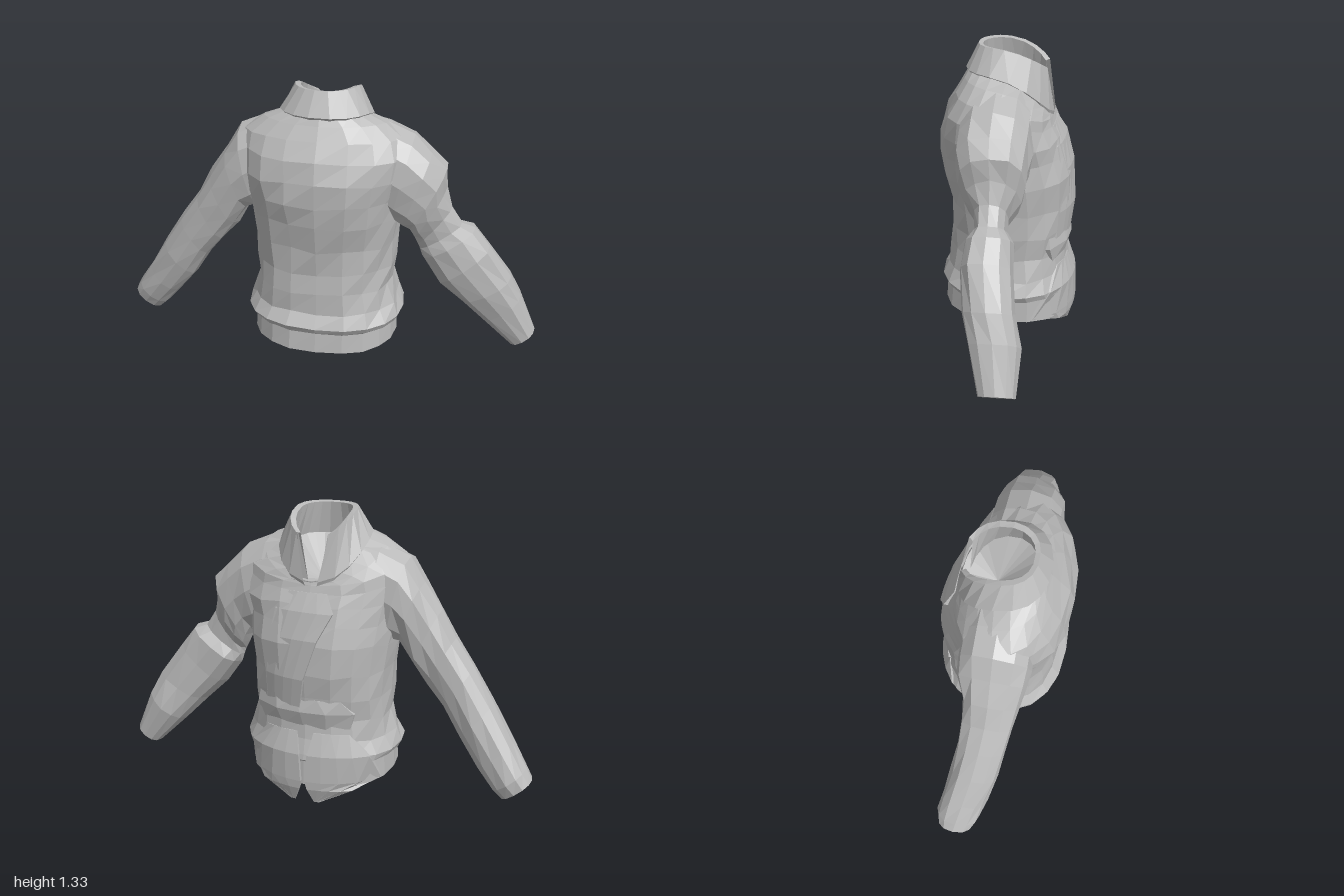
import * as THREE from 'three';

// One cloth colour for the whole garment
const cloth = new THREE.MeshStandardMaterial({ color: 0xbababa, flatShading: true, side: THREE.DoubleSide });
cloth.name = 'greyCloth';

const POWER = 0.86; // squareness of the torso cross-sections
const spow = (v) => Math.sign(v) * Math.abs(v) ** POWER;

// Small repeatable wrinkle offset
function seeded(seed) {
  return () => {
    seed = (seed * 16807) % 2147483647;
    return seed / 2147483647 - 0.5;
  };
}

// Skin a list of rings; tips close the ends of the loft
function loft(rings, { closed = true, flip = false, startTip, endTip } = {}) {
  const n = rings[0].length, pos = [], idx = [];
  const tri = (a, b, c) => (flip ? idx.push(a, c, b) : idx.push(a, b, c));
  rings.flat().forEach((p) => pos.push(...p));
  for (let i = 0; i < rings.length - 1; i++) {
    for (let j = 0; j < (closed ? n : n - 1); j++) {
      const k = (j + 1) % n, a = i * n + j, b = i * n + k;
      tri(a, a + n, b);
      tri(b, a + n, b + n);
    }
  }
  const cap = (tip, base, rev) => {
    const t = pos.length / 3;
    pos.push(...tip);
    for (let j = 0; j < n; j++) {
      const a = base + j, b = base + ((j + 1) % n);
      rev ? tri(t, a, b) : tri(t, b, a);
    }
  };
  if (startTip) cap(startTip, 0, true);
  if (endTip) cap(endTip, (rings.length - 1) * n, false);
  const g = new THREE.BufferGeometry();
  g.setAttribute('position', new THREE.Float32BufferAttribute(pos, 3));
  g.setIndex(idx);
  g.computeVertexNormals();
  return g;
}

function part(name, geometry) {
  const m = new THREE.Mesh(geometry, cloth);
  m.name = name;
  return m;
}

// Torso rows: y, half width, z of open side, z of plain side, drop toward open side
const TORSO = [
  [0.11, 0.345, -0.30, 0.31, 0.02],
  [0.205, 0.34, -0.295, 0.30, 0],
  [0.212, 0.36, -0.30, 0.305, 0],
  [0.24, 0.375, -0.295, 0.32, 0],
  [0.30, 0.345, -0.28, 0.285, 0],
  [0.40, 0.325, -0.265, 0.275, 0],
  [0.50, 0.325, -0.28, 0.27, 0],
  [0.62, 0.33, -0.285, 0.275, 0],
  [0.75, 0.345, -0.28, 0.295, 0],
  [0.85, 0.365, -0.26, 0.31, 0.01],
  [0.95, 0.38, -0.235, 0.31, 0.03],
  [1.05, 0.39, -0.205, 0.285, 0.07],
  [1.13, 0.37, -0.195, 0.24, 0.12],
  [1.19, 0.285, -0.19, 0.205, 0.17],
  [1.225, 0.195, -0.19, 0.185, 0.2],
];

// Point on a rounded cross-section that dips toward -z
function sectionPoint([y, hw, zf, zb, drop], a) {
  const z = (zf + zb) / 2 + ((zb - zf) / 2) * spow(Math.sin(a));
  const t = (zb - z) / (zb - zf);
  return [hw * spow(Math.cos(a)), y - drop * t ** 3, z];
}

function torso() {
  const rnd = seeded(77), n = 20;
  const rings = TORSO.map((row, i) => Array.from({ length: n }, (_, j) => {
    const amt = i < 4 || i > 11 ? 0.004 : 0.02;
    const p = sectionPoint(row, (j / n) * Math.PI * 2);
    const s = 1 + rnd() * amt * 3;
    return [p[0] * s, p[1] + rnd() * amt, p[2] * s];
  }));
  return loft(rings, { startTip: [0, 0.11, 0], endTip: [0, 1.0, -0.03] });
}

// Sleeve rows: outer x, y, inner x, y, z min, z max
const RIGHT_SLEEVE = [
  [0.14, 1.2, 0.2, 0.84, -0.12, 0.16],
  [0.27, 1.175, 0.25, 0.78, -0.13, 0.19],
  [0.39, 1.125, 0.31, 0.74, -0.13, 0.195],
  [0.46, 1.02, 0.36, 0.73, -0.12, 0.19],
  [0.54, 0.89, 0.42, 0.63, -0.09, 0.17],
  [0.61, 0.77, 0.49, 0.545, -0.08, 0.155],
  [0.70, 0.64, 0.57, 0.45, -0.085, 0.14],
  [0.80, 0.49, 0.65, 0.32, -0.10, 0.12],
  [0.90, 0.33, 0.75, 0.20, -0.125, 0.09],
  [0.97, 0.22, 0.83, 0.11, -0.14, 0.065],
  [1.0, 0.17, 0.87, 0.07, -0.13, 0.04],
];
// The left sleeve bulges, pinches and folds over at the elbow
const LEFT_SLEEVE = [
  [0.14, 1.2, 0.2, 0.84, -0.13, 0.16],
  [0.28, 1.175, 0.25, 0.78, -0.13, 0.2],
  [0.40, 1.125, 0.31, 0.73, -0.13, 0.20],
  [0.48, 1.05, 0.36, 0.71, -0.12, 0.20],
  [0.55, 0.98, 0.39, 0.68, -0.11, 0.18],
  [0.55, 0.88, 0.41, 0.64, -0.09, 0.15],
  [0.58, 0.79, 0.43, 0.6, -0.045, 0.105],
  [0.63, 0.715, 0.435, 0.57, -0.04, 0.1],
  [0.69, 0.695, 0.455, 0.53, -0.075, 0.13],
  [0.76, 0.61, 0.54, 0.42, -0.08, 0.145],
  [0.87, 0.45, 0.64, 0.32, -0.10, 0.12],
  [0.92, 0.34, 0.75, 0.21, -0.13, 0.085],
  [1.0, 0.15, 0.89, 0.07, -0.12, 0.035],
];

function sleeve(rows, side, seed) {
  const rnd = seeded(seed), n = 12;
  const rings = rows.map(([ox, oy, ix, iy, z0, z1], i) => Array.from({ length: n }, (_, j) => {
    const a = (j / n) * Math.PI * 2, s = i < 3 || i === rows.length - 1 ? 1 : 1 + rnd() * 0.1;
    const c = spow(Math.cos(a)) * s, d = spow(Math.sin(a)) * s;
    return [
      side * ((ox + ix) / 2 + ((ox - ix) / 2) * c),
      (oy + iy) / 2 + ((oy - iy) / 2) * c,
      (z0 + z1) / 2 + ((z1 - z0) / 2) * d,
    ];
  }));
  const [ox, oy, ix, iy, z0, z1] = rows[rows.length - 1];
  const endTip = [side * (ox + ix) / 2, (oy + iy) / 2, (z0 + z1) / 2];
  return loft(rings, { flip: side > 0, endTip });
}

// Stand-up collar: outer wall, rim and inner wall, opening in a V at -z
function collar() {
  const n = 18;
  const rows = [
    [1.205, 0.195, -0.195, 0.185, 0.2],
    [1.225, 0.21, -0.2, 0.2, 0.2],
    [1.33, 0.145, -0.185, 0.145, 0.11],
    [1.325, 0.12, -0.165, 0.125, 0.11],
    [1.18, 0.15, -0.16, 0.14, 0.17],
  ];
  const gaps = [0.1, 0.12, 0.5, 0.5, 0.12]; // half-angle of the opening for each row
  return loft(rows.map((row, i) => Array.from({ length: n }, (_, j) =>
    sectionPoint(row, -Math.PI / 2 + gaps[i] + (j / (n - 1)) * (Math.PI * 2 - gaps[i] * 2)))), { closed: false });
}

// Depth of the open side of the torso at x, y
function openSide(x, y) {
  const lev = TORSO.map((r) => r[0] - r[4]);
  let i = lev.findIndex((v) => v >= y);
  i = i < 0 ? lev.length - 1 : Math.max(i, 1);
  const t = THREE.MathUtils.clamp((y - lev[i - 1]) / (lev[i] - lev[i - 1]), 0, 1);
  const [, hw, zf, zb] = TORSO[i].map((v, k) => THREE.MathUtils.lerp(TORSO[i - 1][k], v, t));
  const q = Math.max(0, 1 - Math.abs(x / hw) ** (2 / POWER)) ** (POWER / 2);
  return (zf + zb) / 2 - ((zb - zf) / 2) * q;
}

// Cloth panel draped on the open side; rows: y, x start, x end, lift at start, lift at end
function drape(rows) {
  const n = 5;
  const rings = rows.map(([y, x0, x1, l0, l1]) => {
    const front = Array.from({ length: n }, (_, j) => {
      const t = j / (n - 1), x = THREE.MathUtils.lerp(x0, x1, t);
      return [x, y, openSide(x, y) - THREE.MathUtils.lerp(l0, l1, t)];
    });
    const back = [front[n - 1], front[0]].map(([x, yy, z], k) => [x, yy, z + (k ? l0 : l1) + 0.015]);
    return [...front, ...back];
  });
  const mid = (r) => [(r[0][0] + r[n - 1][0]) / 2, r[0][1], (r[0][2] + r[n - 1][2]) / 2 + 0.01];
  return loft(rings, { startTip: mid(rings[0]), endTip: mid(rings[rings.length - 1]) });
}

export function createModel() {
  const jacket = new THREE.Group();
  jacket.name = 'jacket';
  jacket.add(
    part('torso', torso()),
    part('rightSleeve', sleeve(RIGHT_SLEEVE, -1, 31)),
    part('leftSleeve', sleeve(LEFT_SLEEVE, 1, 59)),
    part('collar', collar()),
    // Overlapping closure running diagonally from the neck to the waist
    part('closureFlap', drape([
      [0.42, 0.03, 0.2, 0.01, 0],
      [0.6, 0.0, 0.2, 0.018, 0],
      [0.78, -0.06, 0.18, 0.018, 0],
      [0.9, -0.12, 0.16, 0.018, 0],
      [0.98, -0.08, 0.1, 0.005, 0],
    ])),
    // Gathered folds at the waist
    part('waistFold', drape([
      [0.36, -0.2, 0.22, -0.005, -0.005],
      [0.44, -0.22, 0.26, 0.015, 0.02],
      [0.5, -0.16, 0.25, -0.005, -0.005],
    ])),
  );
  // Pointed tails hanging below the hem
  [[1, 'leftTail'], [-1, 'rightTail']].forEach(([s, name]) => jacket.add(part(name, drape([
    [0, 0.045, 0.07, -0.015, -0.015],
    [0.07, 0.02, 0.22, 0.01, 0],
    [0.11, 0.01, 0.32, 0.015, 0],
    [0.24, 0.02, 0.29, 0.015, 0.005],
    [0.34, 0.04, 0.2, 0, 0],
  ].map(([y, a, b, l, m]) => (s > 0 ? [y, a, b, l, m] : [y, -b, -a, m, l]))))));
  return jacket;
}
